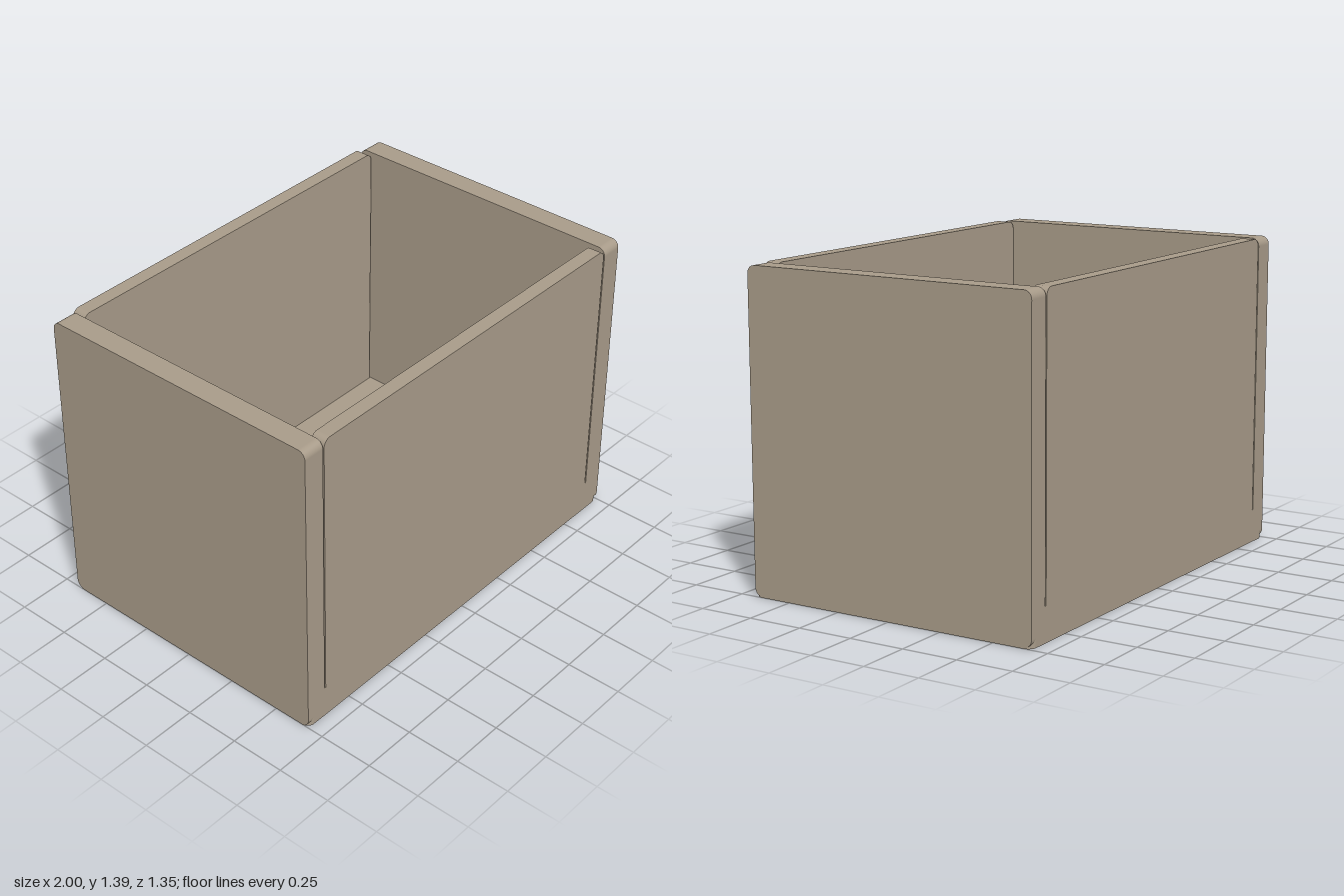
import * as THREE from 'three';

const W = 1, D = 0.677, H = 1.39;        // half width, half depth, height
const SIDE = 0.1, PANEL = 0.065, FLOOR = 0.15, R = 0.035, GAP = 0.007;

// Rectangle outline with separate radii for the lower and upper corners
function roundedRect(x0, y0, x1, y1, low, high) {
  const s = new THREE.Shape();
  s.moveTo(x0 + low, y0);
  s.lineTo(x1 - low, y0);
  if (low) s.absarc(x1 - low, y0 + low, low, -Math.PI / 2, 0);
  s.lineTo(x1, y1 - high);
  s.absarc(x1 - high, y1 - high, high, 0, Math.PI / 2);
  s.lineTo(x0 + high, y1);
  s.absarc(x0 + high, y1 - high, high, Math.PI / 2, Math.PI);
  s.lineTo(x0, y0 + low);
  if (low) s.absarc(x0 + low, y0 + low, low, Math.PI, Math.PI * 1.5);
  return s;
}

function slab(shape, depth) {
  return new THREE.ExtrudeGeometry(shape, { depth, bevelEnabled: false, curveSegments: 8 });
}

export function createModel() {
  const group = new THREE.Group();
  const taupe = new THREE.MeshStandardMaterial({ color: 0xa89b89 });
  taupe.name = 'taupe';

  function add(name, geometry) {
    const mesh = new THREE.Mesh(geometry, taupe);
    mesh.name = name;
    group.add(mesh);
  }

  // Thick base, rounded at its vertical corners
  add('floor', slab(roundedRect(-W, -D, W, D, R, R), FLOOR).rotateX(-Math.PI / 2));

  // Full-depth side walls, rounded at all four corners of their outline
  const side = roundedRect(-D, 0.004, D, H, R, R);
  for (const [name, x] of [['leftWall', W - SIDE], ['rightWall', -W]]) {
    add(name, slab(side, SIDE).rotateY(Math.PI / 2).translate(x, 0, 0));
  }

  // Front and back walls stand between the sides with a narrow slit at each end
  const edge = W - SIDE - GAP;
  const panel = roundedRect(-edge, FLOOR, edge, H, 0, R);
  for (const [name, z] of [['frontWall', D - PANEL], ['backWall', -D]]) {
    add(name, slab(panel, PANEL).translate(0, 0, z));
  }

  return group;
}
